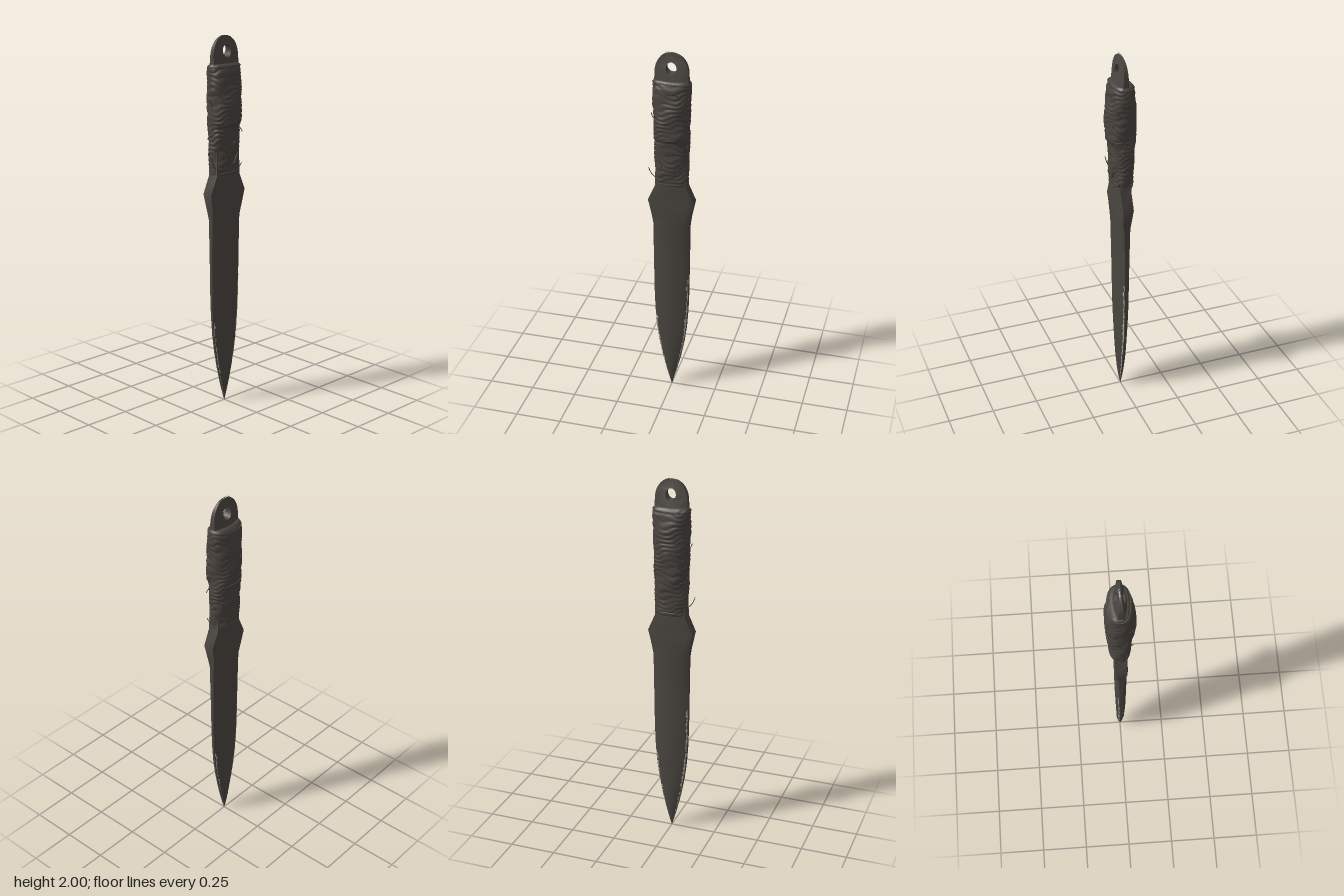
import * as THREE from 'three';
import { toCreasedNormals } from 'three/addons/utils/BufferGeometryUtils.js';

const mat = (name, color, side = THREE.FrontSide) => {
  const m = new THREE.MeshStandardMaterial({ color, side });
  m.name = name;
  return m;
};

// Linear interpolation in a table of [y, a, b, ...] rows, ascending in y
function sample(table, y) {
  let i = 0;
  while (i < table.length - 2 && y > table[i + 1][0]) i++;
  const [p, q] = [table[i], table[i + 1]];
  const k = THREE.MathUtils.clamp((y - p[0]) / (q[0] - p[0]), 0, 1);
  return p.slice(1).map((v, j) => v + (q[j + 1] - v) * k);
}

function indexed(points, index) {
  const g = new THREE.BufferGeometry();
  g.setAttribute('position', new THREE.Float32BufferAttribute(points, 3));
  g.setIndex(index);
  g.computeVertexNormals();
  return g;
}

// Skin over closed rings, listed from bottom to top
function loft(rings) {
  const n = rings[0].length, index = [];
  for (let r = 0; r < rings.length - 1; r++) {
    for (let i = 0; i < n; i++) {
      const a = r * n + i, b = r * n + (i + 1) % n;
      index.push(a, a + n, b, b, a + n, b + n);
    }
  }
  return indexed(rings.flat(2), index);
}

// Small seeded random numbers
let seed = 7;
const random = () => (seed = (seed * 16807) % 2147483647) / 2147483647;

// y, half width, half width of the flat, half thickness, half edge thickness
const BLADE = [
  [0, 0.001, 0.0005, 0.001, 0.0005], [0.04, 0.012, 0.005, 0.008, 0.002],
  [0.1, 0.029, 0.013, 0.015, 0.003], [0.2, 0.053, 0.026, 0.021, 0.004],
  [0.3, 0.072, 0.037, 0.023, 0.005], [0.4, 0.085, 0.046, 0.025, 0.006],
  [0.5, 0.092, 0.052, 0.027, 0.007], [0.62, 0.096, 0.056, 0.028, 0.008],
  [0.85, 0.098, 0.06, 0.03, 0.01], [1.04, 0.099, 0.066, 0.032, 0.014],
  [1.09, 0.105, 0.075, 0.033, 0.022], [1.18, 0.123, 0.1, 0.034, 0.029],
  [1.27, 0.083, 0.07, 0.034, 0.03], [1.4, 0.08, 0.07, 0.034, 0.03],
];

// y, half width, front depth, back depth
const WRAP = [
  [1.275, 0.06, 0.03, 0.035], [1.28, 0.083, 0.046, 0.052], [1.31, 0.087, 0.05, 0.057],
  [1.42, 0.088, 0.055, 0.063], [1.53, 0.09, 0.058, 0.069], [1.55, 0.091, 0.072, 0.07],
  [1.65, 0.093, 0.075, 0.074], [1.74, 0.095, 0.071, 0.073], [1.82, 0.097, 0.059, 0.064],
  [1.845, 0.096, 0.051, 0.056], [1.86, 0.086, 0.034, 0.038], [1.861, 0.03, 0.01, 0.01],
];

// Point on the wrapped grip, raised by lift
function wrapPoint(y, angle, lift) {
  const [w, f, b] = sample(WRAP, y);
  const c = Math.cos(angle), s = Math.sin(angle);
  const soft = v => Math.sign(v) * Math.abs(v) ** 0.88;
  return [soft(c) * (w + lift), y, soft(s) * ((s > 0 ? f : b) + lift)];
}

export function createModel() {
  const group = new THREE.Group();
  const steel = mat('dark steel', 0x4b4641);
  const cord = mat('cord', 0x4a443f);
  const shadowCord = mat('dark cord', 0x37322e);
  const worn = mat('worn edge', 0xb0ada8, THREE.DoubleSide);
  const add = (name, geometry, material) => {
    const m = new THREE.Mesh(geometry, material);
    m.name = name;
    group.add(m);
  };

  // Blade with bevelled edges and flared guard
  const blade = loft(BLADE.map(([y, w, m, t, e]) => [
    [w, y, e], [m, y, t], [-m, y, t], [-w, y, e],
    [-w, y, -e], [-m, y, -t], [m, y, -t], [w, y, -e],
  ]));
  add('blade', toCreasedNormals(blade, 0.8), steel);

  // Bright scratches along the cutting edges, front and back
  for (const sx of [1, -1]) for (const sz of [1, -1]) {
    const pos = [], index = [], strong = sx * sz > 0;
    const top = strong ? 0.7 : 0.45;
    for (let y = 0.02; y < top;) {
      const length = 0.015 + 0.03 * random();
      const inner = 0.05 + 0.12 * random();
      const width = (strong ? 0.24 : 0.16) * (0.5 + random()) * (y > 0.45 ? 0.7 : 1);
      const start = pos.length / 3;
      for (const [dy, k] of [[0, inner], [0.5, inner - 0.04], [0.5, inner + width], [1, inner + 0.02]]) {
        const [w, m, t, e] = sample(BLADE, y + dy * length);
        pos.push(sx * (w + (m - w) * k), y + dy * length, sz * (e + (t - e) * k + 0.0018));
      }
      index.push(start, start + 1, start + 2, start + 1, start + 3, start + 2);
      y += length * (0.5 + 0.5 * random());
    }
    add('wornEdge', indexed(pos, index), worn);
  }

  // Rounded pommel with a lanyard hole, thinning to its top and sides
  const outline = new THREE.Shape();
  outline.moveTo(0, 1.8);
  outline.lineTo(0.088, 1.8);
  outline.lineTo(0.087, 1.9);
  outline.bezierCurveTo(0.083, 1.965, 0.045, 2, 0, 2);
  outline.bezierCurveTo(-0.045, 2, -0.083, 1.965, -0.087, 1.9);
  outline.lineTo(-0.088, 1.8);
  const hole = new THREE.Path();
  hole.absellipse(0, 1.921, 0.028, 0.031, 0, Math.PI * 2, true);
  outline.holes.push(hole);
  const pommel = new THREE.ExtrudeGeometry(outline, { depth: 2, bevelEnabled: false, curveSegments: 20 });
  pommel.translate(0, 0, -1);
  const p = pommel.attributes.position;
  for (let i = 0; i < p.count; i++) {
    const side = (p.getX(i) / 0.088) ** 2;
    p.setZ(i, p.getZ(i) * (0.004 + (2 - p.getY(i)) * 0.21 * (1 - 0.6 * side)));
  }
  add('pommel', toCreasedNormals(pommel, 0.6), steel);

  // Bright wear on the crown of the pommel
  const crown = new THREE.BoxGeometry(0.042, 0.001, 0.006);
  crown.translate(-0.012, 1.9993, -0.003);
  add('pommelWear', crown, worn);

  // Cord grip: one skin with slanted, uneven windings
  const rings = [], rows = 170, sides = 56;
  for (let r = 0; r <= rows; r++) {
    const y = 1.275 + 0.586 * r / rows, ring = [];
    for (let i = 0; i < sides; i++) {
      const a = i / sides * Math.PI * 2;
      const turn = y * 34 + i / sides + 0.5 * Math.sin(a * 2 + y * 17) + 0.3 * Math.sin(a * 5 - y * 31);
      const ridge = Math.abs(Math.sin(turn * Math.PI));
      const depth = 0.003 + 0.0015 * Math.sin(a * 4 + y * 23);
      ring.push(wrapPoint(y, a, depth * ridge + 0.0015 * Math.sin(a * 3 + y * 43)));
    }
    rings.push(ring);
  }
  add('gripWrap', loft(rings), cord);

  // Strands lying on the grip from one height and angle to another
  const strand = (name, y0, y1, a0, a1, radius, material) => {
    const pts = [];
    for (let i = 0; i <= 16; i++) {
      const k = i / 16, y = y0 + (y1 - y0) * k + 0.004 * Math.sin(k * 9 + y0 * 30);
      pts.push(new THREE.Vector3(...wrapPoint(y, a0 + (a1 - a0) * k, 0.002)));
    }
    add(name, new THREE.TubeGeometry(new THREE.CatmullRomCurve3(pts), 32, radius, 5), material);
  };
  strand('overlapStrand', 1.535, 1.565, 2.9, 0.2, 0.0035, shadowCord);
  strand('overlapStrand', 1.55, 1.53, 3.4, 6, 0.003, cord);
  strand('topStrand', 1.845, 1.838, 0, Math.PI * 2, 0.004, cord);
  strand('bottomStrand', 1.288, 1.296, 0, Math.PI * 2, 0.004, cord);
  strand('crossStrand', 1.33, 1.39, 1.5, 1.0, 0.003, shadowCord);
  for (let i = 0; i < 28; i++) {
    const a = random() * Math.PI * 2, y = 1.31 + 0.018 * i;
    strand('looseWinding', y, y - 0.012 + 0.024 * random(), a, a + 0.25 + 0.5 * random(), 0.0024, shadowCord);
  }

  // Frayed ends standing off the grip: [y, angle, outward length, rise]
  const frays = [
    [1.31, 2.75, 0.034, 0.06], [1.3, 0.5, 0.016, 0.03], [1.38, 1.9, 0.016, 0.05],
    [1.52, 0.3, 0.018, -0.03], [1.56, 0.1, 0.014, 0.03], [1.64, 3, 0.014, 0.03],
  ];
  for (const [y, a, out, rise] of frays) {
    const curve = new THREE.QuadraticBezierCurve3(
      new THREE.Vector3(...wrapPoint(y, a, -0.002)),
      new THREE.Vector3(...wrapPoint(y + rise * 0.3, a + 0.05, out * 0.7)),
      new THREE.Vector3(...wrapPoint(y + rise, a + 0.1, out)));
    add('frayedEnd', new THREE.TubeGeometry(curve, 8, 0.002, 5), shadowCord);
  }
  return group;
}
